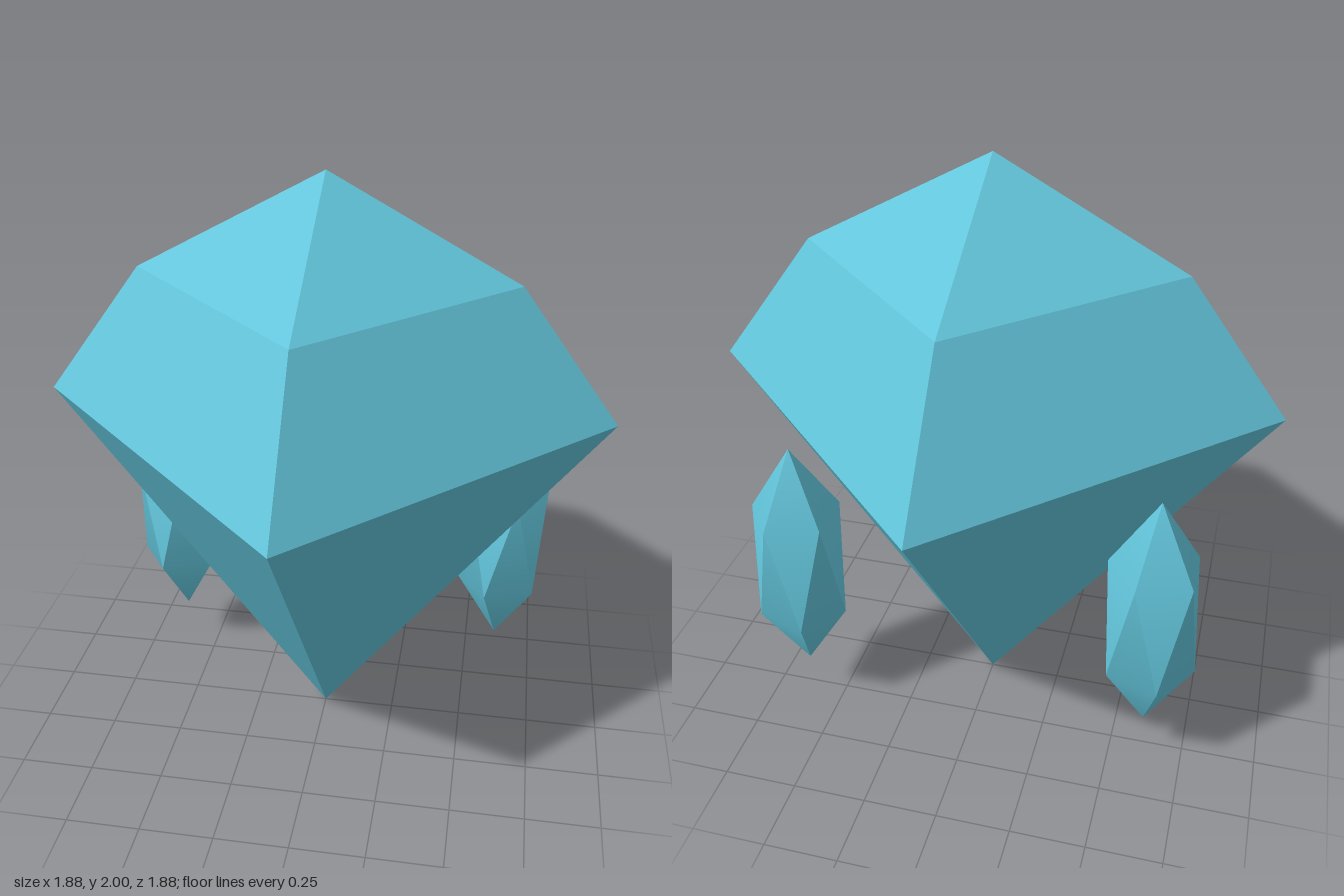
import * as THREE from 'three';
import { toCreasedNormals } from 'three/addons/utils/BufferGeometryUtils.js';

// Four-sided cut gem with its corners on the x and z axes
function gemGeometry() {
  const profile = [[0, 0], [0.94, 1.225], [0.61, 1.67], [0, 2]]
    .map(([r, y]) => new THREE.Vector2(r, y));
  const geometry = new THREE.LatheGeometry(profile, 4).toNonIndexed();
  geometry.computeVertexNormals();
  return geometry;
}

// Icosahedron stood on a vertex and stretched into a crystal shard;
// the shallow bends at its rings are smoothed, the long edges stay sharp
function shardGeometry() {
  const golden = (1 + Math.sqrt(5)) / 2;
  const geometry = new THREE.IcosahedronGeometry(1, 0);
  geometry.rotateZ(-Math.atan(1 / golden));
  geometry.scale(0.173, 0.445, 0.173);
  return toCreasedNormals(geometry, THREE.MathUtils.degToRad(24));
}

export function createModel() {
  const model = new THREE.Group();
  model.name = 'floatingCrystal';

  const crystal = new THREE.MeshStandardMaterial({ color: 0x62c4da });
  crystal.name = 'crystalBlue';

  const gem = new THREE.Mesh(gemGeometry(), crystal);
  gem.name = 'gemBody';
  model.add(gem);

  // Two identical shards hovering beside the back of the gem
  const shardShape = shardGeometry();
  for (const [name, x] of [['leftShard', 0.61], ['rightShard', -0.61]]) {
    const shard = new THREE.Mesh(shardShape, crystal);
    shard.name = name;
    shard.position.set(x, 0.615, -0.305);
    model.add(shard);
  }

  return model;
}
